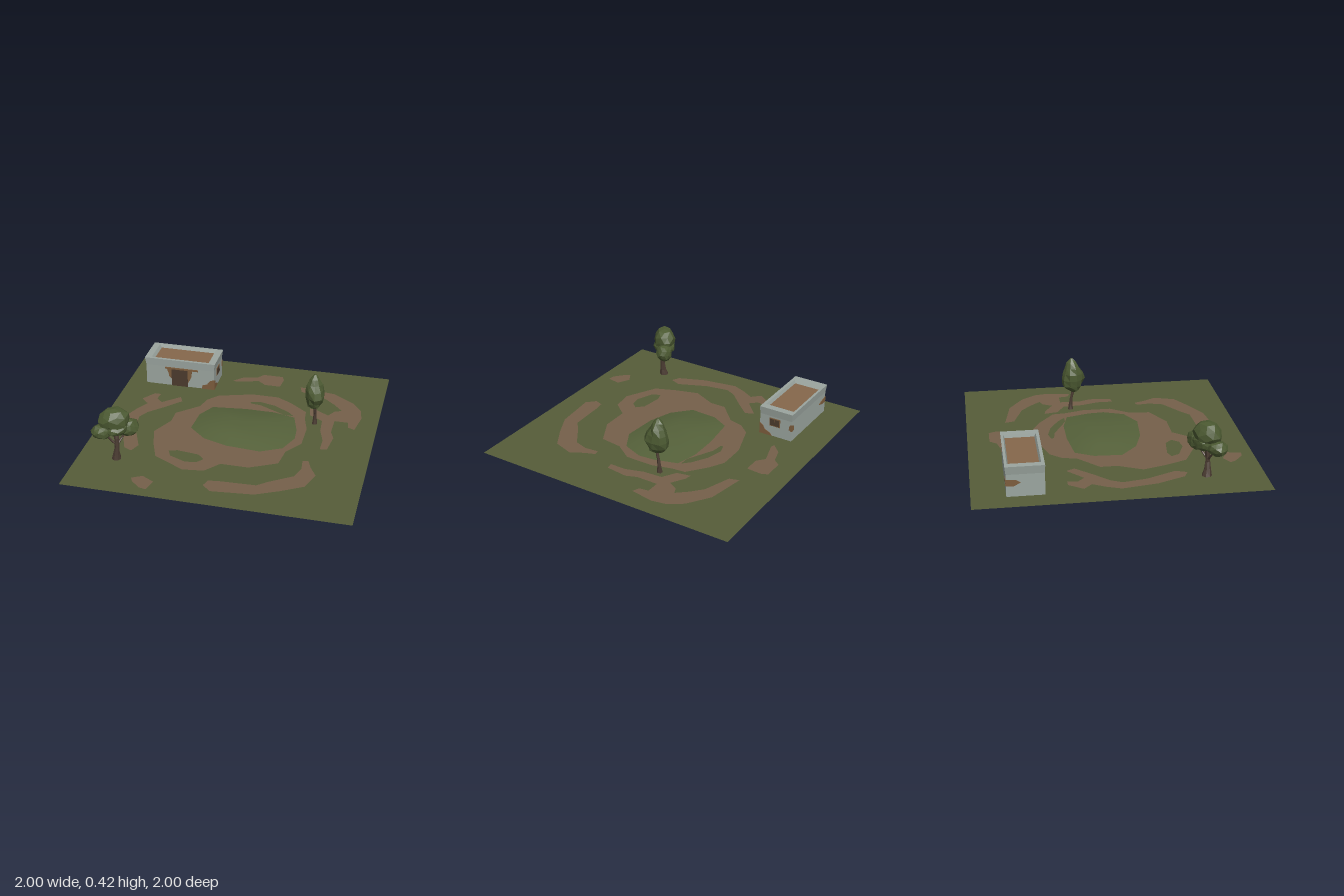
import * as THREE from 'three';

const mat = (name, color, side = THREE.FrontSide) => {
  const m = new THREE.MeshStandardMaterial({ color, side });
  m.name = name;
  return m;
};

export function createModel() {
  const root = new THREE.Group();
  const grass = mat('grass', 0x565d39, THREE.DoubleSide);
  const dirt = mat('dirt', 0x75604a, THREE.DoubleSide);
  const hillGreen = mat('hill green', 0x55613a);
  const plaster = mat('plaster', 0x9ba59f);
  const roofClay = mat('roof clay', 0x85674b);
  const brick = mat('exposed brick', 0x7d5d3d);
  const wood = mat('dark wood', 0x4c3b2d);
  const bark = mat('bark', 0x4b3c32);
  const leaf = mat('leaves', 0x4c5a32);

  const add = (name, geo, material, parent = root) => {
    const mesh = new THREE.Mesh(geo, material);
    mesh.name = name;
    parent.add(mesh);
    return mesh;
  };
  const group = (name) => {
    const g = new THREE.Group();
    g.name = name;
    root.add(g);
    return g;
  };
  const faceted = (geo) => {
    const g = geo.index ? geo.toNonIndexed() : geo;
    g.computeVertexNormals();
    return g;
  };
  // repeatable noise in -1..1
  const noise = (a, b, c = 0) => {
    const s = Math.sin(a * 127.1 + b * 311.7 + c * 74.7) * 43758.5453;
    return (s - Math.floor(s)) * 2 - 1;
  };

  // Skin between equal rings of [x, y, z], counter-clockwise from above
  const loft = (rings, cap = true) => {
    const n = rings[0].length, index = [];
    for (let i = 0; i < rings.length - 1; i++) {
      for (let j = 0; j < n; j++) {
        const a = i * n + j, b = i * n + (j + 1) % n;
        index.push(a, b, a + n, b, b + n, a + n);
      }
    }
    const top = (rings.length - 1) * n;
    if (cap) for (let j = 1; j < n - 1; j++) index.push(top, top + j, top + j + 1);
    const g = new THREE.BufferGeometry();
    g.setAttribute('position', new THREE.Float32BufferAttribute(rings.flat(2), 3));
    g.setIndex(index);
    g.computeVertexNormals();
    return g;
  };
  const circle = (x, y, z, rx, rz, n, wobble = 0) => Array.from({ length: n }, (_, j) => {
    const a = j / n * Math.PI * 2, k = 1 + wobble * noise(j + 1, y * 50);
    return [x + Math.cos(a) * rx * k, y, z - Math.sin(a) * rz * k];
  });

  // Ground: grass and dirt fit together in one plane
  const path = (pts, Type = THREE.Shape) => new Type(pts.map(([x, z]) => new THREE.Vector2(x, -z)));
  const flat = (shape) => new THREE.ShapeGeometry(shape).rotateX(-Math.PI / 2);
  const ring = [[-.25, -.43], [0, -.51], [.2, -.51], [.31, -.45], [.45, -.34], [.46, -.24], [.5, -.1],
    [.5, .11], [.41, .24], [.39, .4], [.2, .5], [0, .5], [-.09, .61], [-.24, .63], [-.47, .51],
    [-.53, .36], [-.58, .19], [-.5, .02], [-.5, -.1], [-.35, -.24], [-.32, -.35]];
  const leftPatch = [[-.81, -.25], [-.74, -.35], [-.69, -.35], [-.7, -.28], [-.65, -.23], [-.53, -.34],
    [-.5, -.28], [-.61, -.16], [-.71, -.06], [-.75, .02], [-.72, .19], [-.63, .4], [-.66, .48],
    [-.72, .45], [-.8, .25], [-.84, 0], [-.8, -.1], [-.75, -.19]];
  const backPatch = [[-.2, -.69], [-.13, -.76], [-.02, -.79], [.02, -.84], [.17, -.84], [.19, -.79],
    [.18, -.68], [.06, -.68], [0, -.73], [-.17, -.68]];
  const rightPatch = [[.34, -.71], [.62, -.66], [.78, -.55], [.85, -.45], [.87, -.34], [.84, -.17],
    [.79, -.19], [.78, -.26], [.68, -.26], [.68, -.1], [.71, -.02], [.69, .14], [.64, .15], [.64, .03],
    [.6, -.1], [.59, -.24], [.49, -.3], [.47, -.4], [.52, -.39], [.62, -.33], [.66, -.4], [.71, -.42],
    [.64, -.5], [.56, -.57], [.36, -.64]];
  const frontPatch = [[.55, .33], [.59, .32], [.62, .4], [.67, .49], [.62, .64], [.47, .73], [.31, .81],
    [.01, .84], [-.05, .78], [-.03, .72], [.04, .71], [.3, .7], [.37, .64], [.53, .53], [.56, .43]];
  const smallPatch = [[-.55, .81], [-.48, .77], [-.39, .82], [-.41, .92], [-.46, .91], [-.53, .85]];
  const islands = [
    [[-.4, .42], [-.34, .4], [-.18, .42], [-.13, .47], [-.17, .52], [-.25, .53], [-.37, .48]],
    [[.01, -.39], [.08, -.41], [.2, -.38], [.32, -.31], [.37, -.26], [.3, -.26], [.2, -.31], [.1, -.36], [.02, -.37]],
  ];
  const field = path([[-1, -1], [-1, 1], [1, 1], [1, -1]]);
  [ring, leftPatch, backPatch, rightPatch, frontPatch, smallPatch].forEach((pts, i) => {
    field.holes.push(path(pts, THREE.Path));
    const patch = path(pts);
    if (i === 0) islands.forEach((p) => patch.holes.push(path(p, THREE.Path)));
    add('dirtPatch', flat(patch), dirt);
  });
  add('grassField', flat(field), grass);
  islands.forEach((p) => add('grassIsland', flat(path(p)), grass));

  // Low mound: its outline shrinks towards the crest
  const outline = [[.44, .05], [.43, -.07], [.38, -.24], [.22, -.28], [0, -.28], [-.25, -.25], [-.32, -.12],
    [-.33, .08], [-.2, .2], [-.02, .26], [.23, .28], [.38, .2]];
  const moundRings = [[1, 0], [.68, .022], [.38, .036], [.1, .037]].map(([s, y]) =>
    outline.map(([x, z]) => [.02 + (x - .02) * s, y, z * s]));
  add('mound', loft(moundRings), hillGreen);

  // House: walls, parapet and sunken roof
  const house = group('house');
  const rect = (x0, x1, z0, z1, y) => [[x1, y, z1], [x1, y, z0], [x0, y, z0], [x0, y, z1]];
  const roofRim = rect(-.80, -.36, -.745, -.54, .195);
  add('walls', faceted(loft([
    rect(-.855, -.31, -.767, -.51, 0),
    rect(-.855, -.31, -.767, -.51, .16),
    rect(-.865, -.302, -.773, -.508, .22),
    rect(-.815, -.355, -.755, -.53, .22),
    roofRim,
  ], false)), plaster, house);
  add('roof', faceted(loft([roofRim, roofRim])), roofClay, house);

  // Thin plates on a wall, drawn in the wall's own plane
  const walls = {
    front: [0, 0, -.51, 0], left: [-.31, 0, 0, Math.PI / 2],
    back: [0, 0, -.767, Math.PI], right: [-.855, 0, 0, -Math.PI / 2],
  };
  const plate = (name, wall, pts, material, depth = .004) => {
    const shape = new THREE.Shape(pts.map((p) => new THREE.Vector2(...p)));
    const mesh = add(name, new THREE.ExtrudeGeometry(shape, { depth, bevelEnabled: false }), material, house);
    const [x, y, z, turn] = walls[wall];
    mesh.position.set(x, y, z);
    mesh.rotation.y = turn;
  };
  const box = (x0, x1, y0, y1) => [[x0, y0], [x1, y0], [x1, y1], [x0, y1]];
  plate('door', 'front', box(-.65, -.52, 0, .143), wood, .005);
  plate('lintel', 'front', box(-.70, -.435, .143, .156), brick, .008);
  plate('doorBrick', 'front', [[-.65, .06], [-.65, .145], [-.69, .145], [-.675, .11], [-.67, .08]], brick);
  plate('doorBrick', 'front', [[-.52, .03], [-.505, .06], [-.49, .09], [-.485, .145], [-.52, .145]], brick);
  plate('cornerBrick', 'front', [[-.41, 0], [-.31, 0], [-.31, .085], [-.345, .07], [-.365, .04], [-.4, .03]], brick);
  plate('cornerBrick', 'left', [[.51, 0], [.61, 0], [.595, .02], [.55, .04], [.535, .07], [.51, .085]], brick);
  plate('windowFrame', 'left', box(.588, .674, .083, .147), brick);
  for (const x of [.595, .633]) plate('windowPane', 'left', box(x, x + .034, .09, .14), wood, .007);
  plate('cornerBrick', 'left', [[.767, .08], [.767, .135], [.75, .125], [.745, .09]], brick);
  plate('cornerBrick', 'back', [[.31, .08], [.345, .085], [.34, .12], [.31, .135]], brick);
  plate('cornerBrick', 'back', [[.75, .1], [.79, .085], [.855, .08], [.855, .125], [.8, .115]], brick);
  plate('cornerBrick', 'right', [[-.767, .08], [-.72, .075], [-.67, .1], [-.7, .12], [-.767, .125]], brick);

  // Trees
  const limb = (parent, pts) => add('trunk', faceted(loft(
    pts.map(([x, y, z, r]) => circle(x, y, z, r, r, 7, .12)))), bark, parent);

  const broadTree = group('broadTree');
  limb(broadTree, [[-.725, 0, .6, .034], [-.722, .04, .603, .024], [-.715, .1, .605, .018],
    [-.715, .17, .6, .017], [-.72, .25, .59, .012]]);
  limb(broadTree, [[-.72, .12, .605, .012], [-.75, .155, .615, .009], [-.79, .21, .63, .007]]);
  limb(broadTree, [[-.713, .12, .603, .012], [-.685, .165, .57, .009], [-.65, .22, .545, .007]]);
  const crown = new THREE.Group();
  crown.name = 'crown';
  crown.position.set(-.725, 0, .592);
  crown.rotation.y = .56;
  broadTree.add(crown);
  [[0, .312, 0, .112, .09, .083], [-.092, .237, .004, .08, .056, .065],
    [.094, .236, 0, .078, .068, .062], [0, .25, .022, .09, .05, .065], [.01, .25, -.03, .085, .055, .055],
  ].forEach(([x, y, z, rx, ry, rz], k) => {
    const geo = new THREE.IcosahedronGeometry(1, 1);
    const p = geo.attributes.position, v = new THREE.Vector3();
    for (let i = 0; i < p.count; i++) {
      v.fromBufferAttribute(p, i);
      const h = noise(Math.round(v.x * 50), Math.round(v.y * 50), Math.round(v.z * 50) + k);
      v.multiplyScalar(1 + .09 * h);
      p.setXYZ(i, x + v.x * rx, y + v.y * ry, z + v.z * rz);
    }
    add('leafClump', faceted(geo), leaf, crown);
  });

  const tallTree = group('tallTree');
  limb(tallTree, [[.542, 0, -.192, .02], [.543, .04, -.192, .014], [.542, .09, -.187, .011],
    [.541, .13, -.178, .011], [.54, .2, -.17, .008]]);
  const tallRings = [[.145, .012], [.165, .045], [.2, .068], [.25, .078], [.3, .07], [.345, .055],
    [.385, .034], [.418, .008]].map(([y, r]) =>
    circle(.537, y, -.166 - (y - .145) * .05, r * .93, r * 1.08, 9, .16));
  tallRings.unshift(circle(.537, .155, -.166, .001, .001, 9));
  add('crown', faceted(loft(tallRings)), leaf, tallTree);

  return root;
}
